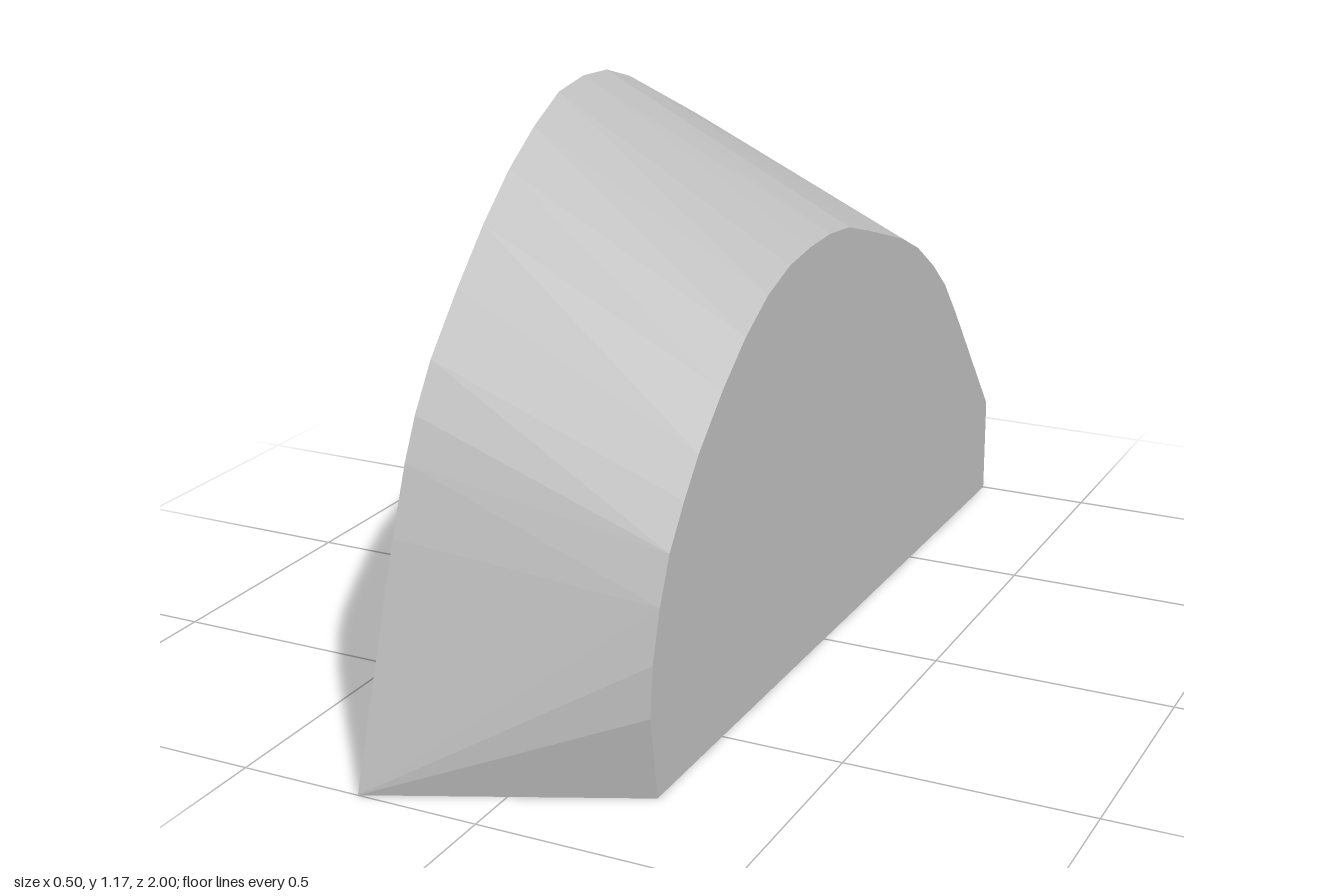
import * as THREE from 'three';
import { ConvexGeometry } from 'three/addons/geometries/ConvexGeometry.js';

// Arched side profiles as [z, y], running from the front foot over the crown to the back
const tallProfile = [
  [1, 0], [0.85, 0.45], [0.8, 0.58], [0.76, 0.66], [0.7, 0.75], [0.6, 0.86], [0.5, 0.96],
  [0.4, 1.045], [0.3, 1.11], [0.2, 1.16], [0.1, 1.175], [0, 1.17], [-0.1, 1.14],
  [-0.42, 1.0], [-0.5, 0.955], [-0.6, 0.885], [-1, 0.55], [-1, 0],
];
const lowProfile = [
  [0.775, 0], [0.8, 0.17], [0.79, 0.27], [0.76, 0.37], [0.72, 0.46], [0.66, 0.54], [0.6, 0.61],
  [0.5, 0.7], [0.4, 0.775], [0.3, 0.83], [0.2, 0.863], [0.1, 0.876], [0, 0.88], [-0.1, 0.87],
  [-0.2, 0.84], [-0.4, 0.775], [-0.5, 0.73], [-0.6, 0.665], [-0.68, 0.6], [-0.76, 0.51],
  [-1, 0.22], [-1, 0],
];

const placeAt = (x, profile) => profile.map(([z, y]) => new THREE.Vector3(x, y, z));

export function createModel() {
  const group = new THREE.Group();
  group.name = 'archedWedge';
  const grey = new THREE.MeshStandardMaterial({ color: 0xbcbcbc });
  grey.name = 'light grey';

  // Solid body: a faceted skin stretched between the tall and the low side
  const body = new THREE.Mesh(
    new ConvexGeometry([...placeAt(-0.25, tallProfile), ...placeAt(0.25, lowProfile)]),
    grey,
  );
  body.name = 'body';
  group.add(body);
  return group;
}
